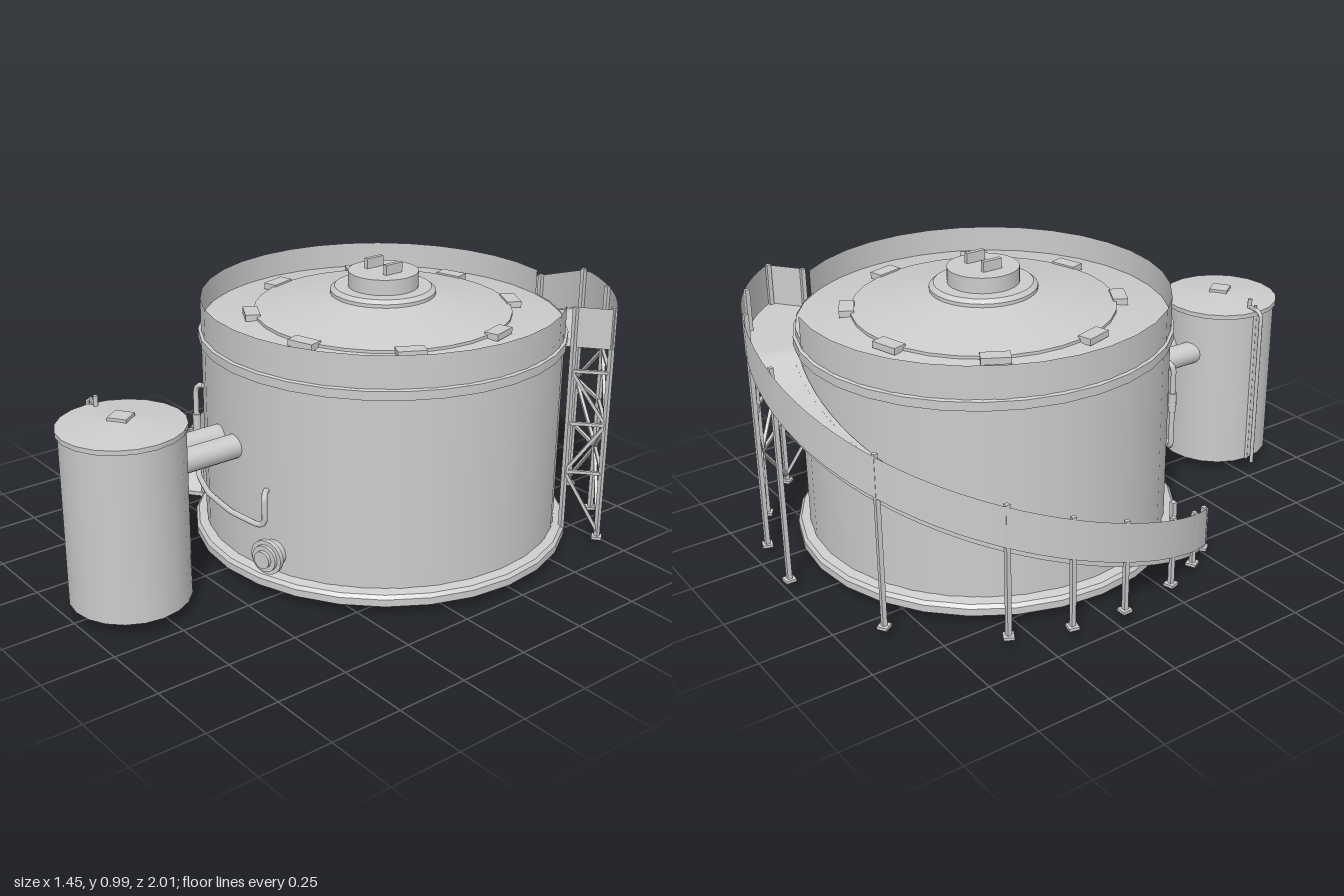
import * as THREE from 'three';
import { mergeGeometries } from 'three/addons/utils/BufferGeometryUtils.js';
import { ParametricGeometry } from 'three/addons/geometries/ParametricGeometry.js';

const mat = new THREE.MeshStandardMaterial({ color: 0xcccccc, side: THREE.DoubleSide });
const RAD = Math.PI / 180;
const CX = 0.06, CZ = -0.215; // axis of the main tank
const V = (x, y, z) => new THREE.Vector3(x, y, z);
// point around the main tank: radius, angle in degrees (0 = +x, 90 = +z), height
const polar = (r, deg, y) => V(CX + r * Math.cos(deg * RAD), y, CZ + r * Math.sin(deg * RAD));

export function createModel() {
  const model = new THREE.Group();

  const add = (name, geo, x = 0, y = 0, z = 0) => {
    const mesh = new THREE.Mesh(geo, mat);
    mesh.name = name;
    mesh.position.set(x, y, z);
    model.add(mesh);
    return mesh;
  };
  // turned profile with hard edges between its segments
  const turned = (pts, sides, start = 0, sweep = 360) => mergeGeometries(
    pts.slice(1).map((p, i) => new THREE.LatheGeometry(
      [new THREE.Vector2(...pts[i]), new THREE.Vector2(...p)], sides, start * RAD, sweep * RAD)));
  // square bar between two points
  const bar = (a, b, w) => {
    const geo = new THREE.BoxGeometry(w, w, a.distanceTo(b));
    const o = new THREE.Object3D();
    o.position.copy(a).lerp(b, 0.5);
    o.lookAt(b);
    o.updateMatrix();
    return geo.applyMatrix4(o.matrix);
  };
  const pipe = (name, pts, r) => {
    const path = new THREE.CatmullRomCurve3(pts, false, 'catmullrom', 0.15);
    return add(name, new THREE.TubeGeometry(path, 60, r, 8));
  };

  // Main tank
  add('mainTankWall', turned([[0.62, 0.04], [0.62, 0.79]], 32), CX, 0, CZ);
  add('baseRing', turned([[0.62, 0.035], [0.66, 0.035], [0.66, 0.06], [0.65, 0.072], [0.62, 0.08]], 28), CX, 0, CZ);
  add('rimBand', turned([[0.62, 0.728], [0.63, 0.732], [0.63, 0.762], [0.62, 0.766]], 32), CX, 0, CZ);
  add('parapet', turned([[0.62, 0.765], [0.62, 0.875]], 30, 167, 322), CX, 0, CZ);
  add('roof', turned([[0.62, 0.785], [0.44, 0.815], [0.44, 0.825], [0.17, 0.88]], 32), CX, 0, CZ);
  add('roofHatch', turned([[0.18, 0.87], [0.18, 0.89], [0.165, 0.902], [0.12, 0.902],
    [0.12, 0.955], [0, 0.955]], 32), CX, 0, CZ);
  for (const dx of [-0.049, 0.049])
    add('hatchHandle', new THREE.BoxGeometry(0.016, 0.036, 0.07), CX + dx, 0.972, CZ);

  // Clips around the roof dome
  for (let i = 0; i < 8; i++) {
    const deg = -16 + i * 45;
    const p = polar(0.45, deg, 0.823);
    add('roofClip', new THREE.BoxGeometry(0.05, 0.022, 0.095), p.x, p.y, p.z).rotation.y = -deg * RAD;
  }

  // Small tank, open below
  const SX = 0.007, SZ = 0.793;
  add('smallTank', turned([[0.2, 0.04], [0.2, 0.62]], 20), SX, 0, SZ);
  add('smallTankLid', turned([[0.2, 0.618], [0.207, 0.62], [0.207, 0.636], [0, 0.66]], 20), SX, 0, SZ);
  add('smallTankHatch', new THREE.BoxGeometry(0.065, 0.016, 0.065), SX, 0.658, SZ).rotation.y = 0.6;

  // Ducts joining the two tanks, running on inside the main one
  for (const x of [-0.05, 0.05]) {
    const duct = add('connectingDuct', new THREE.CylinderGeometry(0.041, 0.041, 0.47, 16, 1, true), x, 0.47, 0.385);
    duct.rotation.x = Math.PI / 2;
  }

  // Overflow pipe beside the small tank
  pipe('smallTankPipe', [V(-0.228, 0.04, 0.78), V(-0.228, 0.3, 0.78), V(-0.228, 0.615, 0.78),
    V(-0.222, 0.638, 0.78), V(-0.205, 0.646, 0.78), V(-0.16, 0.646, 0.785)], 0.007);
  add('pipeFitting', new THREE.CylinderGeometry(0.008, 0.008, 0.04, 8), -0.162, 0.655, 0.785);
  add('pipeFitting', new THREE.CylinderGeometry(0.006, 0.006, 0.62, 8), -0.192, 0.35, 0.785);

  // Gauge pipe hugging the front of the main tank
  pipe('gaugePipe', [polar(0.62, 119, 0.575), polar(0.637, 120, 0.572), polar(0.645, 120.5, 0.55),
    polar(0.645, 120.5, 0.4), polar(0.645, 120.5, 0.27), polar(0.645, 119, 0.25), polar(0.645, 116, 0.245),
    polar(0.645, 105, 0.245), polar(0.645, 90, 0.245), polar(0.645, 79, 0.245), polar(0.645, 76.5, 0.25),
    polar(0.645, 75.5, 0.27), polar(0.645, 75.5, 0.34), polar(0.637, 76, 0.36), polar(0.62, 76.5, 0.365)], 0.01);
  const valve = polar(0.645, 120.5, 0.43);
  add('gaugeValve', new THREE.CylinderGeometry(0.014, 0.014, 0.07, 10), valve.x, valve.y, valve.z);

  // Manhole
  const manhole = new THREE.Group();
  manhole.name = 'manhole';
  const spout = (r, len, at) => {
    const m = new THREE.Mesh(new THREE.CylinderGeometry(r, r, len, 20), mat);
    m.rotation.x = Math.PI / 2;
    m.position.z = at;
    manhole.add(m);
  };
  spout(0.046, 0.07, 0.64);
  spout(0.06, 0.016, 0.655);
  spout(0.03, 0.014, 0.68);
  manhole.position.set(CX, 0.147, CZ);
  manhole.rotation.y = 16 * RAD;
  model.add(manhole);

  // Curved stair: level landing, then an even descent round the back
  const START = -38, TURN = -72, END = -217, GUARD = 0.14, RO = 0.785;
  const top = d => d > TURN ? 0.875 : 0.875 - 0.695 * (TURN - d) / (TURN - END);
  const sweep = (name, r0, r1, drop0, drop1) => add(name, new ParametricGeometry((u, v, t) => {
    const d = START + (END - START) * u;
    t.copy(polar(r0 + (r1 - r0) * v, d, top(d) - drop0 - (drop1 - drop0) * v));
  }, 40, 1));
  sweep('stairGuard', RO, RO, 0, GUARD);
  sweep('stairFloor', 0.622, RO, GUARD, GUARD);
  sweep('stairStringer', 0.772, 0.772, GUARD, GUARD + 0.022);
  sweep('stairStringer', 0.64, 0.64, GUARD, GUARD + 0.022);
  add('landingEndGuard', new ParametricGeometry((u, v, t) =>
    t.copy(polar(0.65 + 0.135 * u, START, 0.735 + GUARD * v)), 1, 1));

  // Legs with foot plates
  for (const d of [-38.5, -56, -72, -90, -122, -151, -166, -180, -196, -207, -215]) {
    add('stairLeg', bar(polar(0.775, d, 0.035), polar(0.775, d, top(d) + 0.005), 0.015));
    const f = polar(0.775, d, 0.038);
    add('footPlate', new THREE.BoxGeometry(0.035, 0.01, 0.035), f.x, f.y, f.z).rotation.y = -d * RAD;
  }
  add('innerLandingLeg', bar(polar(0.65, START, 0.035), polar(0.65, START, 0.875), 0.015));
  add('innerEndPost', bar(polar(0.665, END, 0), polar(0.665, END, 0.18), 0.018));
  add('bottomStep', bar(polar(0.665, END, 0.035), polar(0.78, END, 0.035), 0.015));

  // Braced bays under the landing
  const feet = [[0.65, START], [0.775, -38.5], [0.775, -56], [0.775, -72]];
  const levels = [0.06, 0.28, 0.46, 0.65];
  for (let i = 0; i < feet.length - 1; i++) {
    levels.forEach((y, k) => {
      if (k === 0) return;
      add('crossRail', bar(polar(...feet[i], y), polar(...feet[i + 1], y), 0.011));
      const flip = (i + k) % 2;
      add('diagonalBrace', bar(polar(...feet[i + flip], levels[k - 1]), polar(...feet[i + 1 - flip], y), 0.011));
    });
  }
  return model;
}
